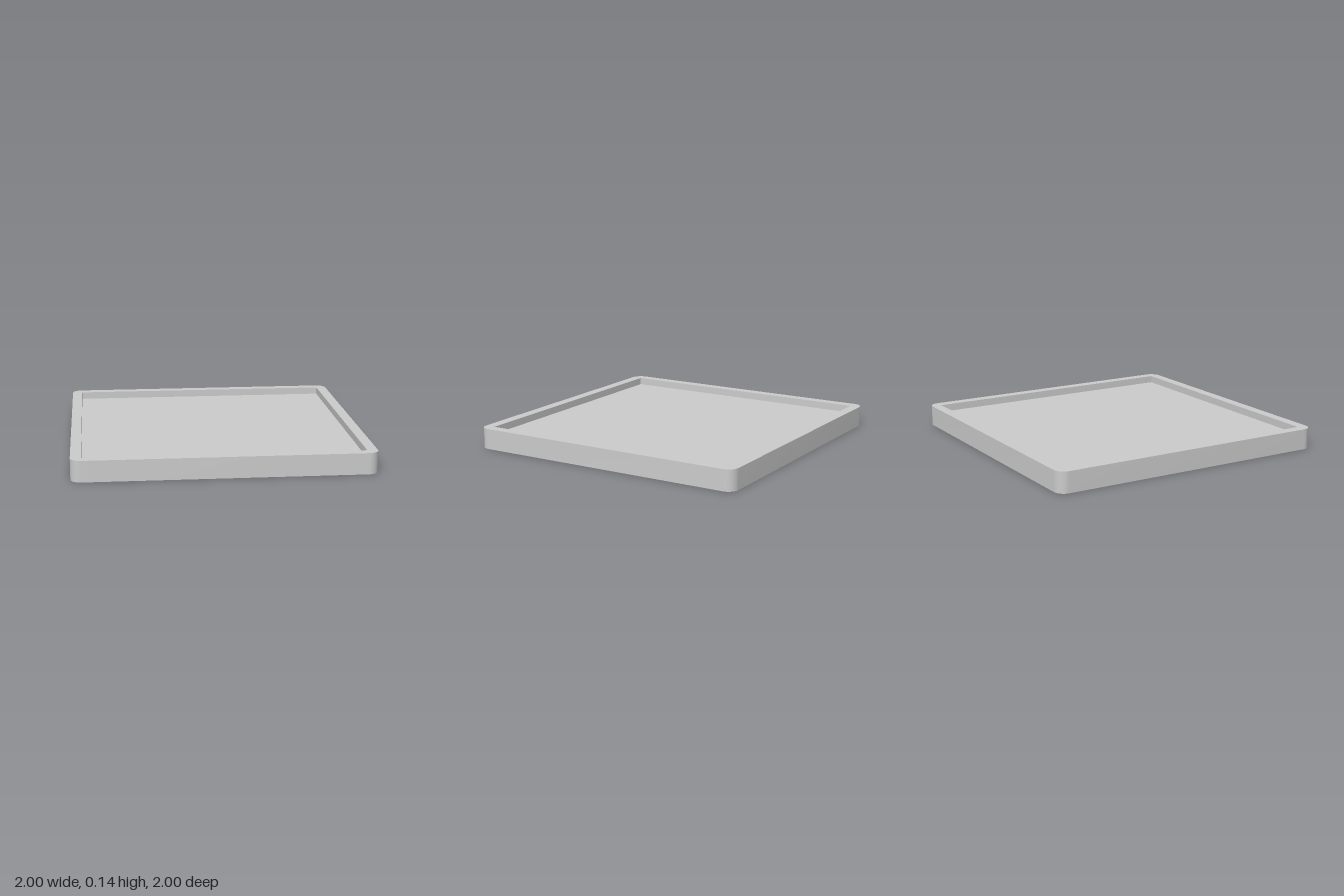
import * as THREE from 'three';
import { mergeGeometries, toCreasedNormals } from 'three/addons/utils/BufferGeometryUtils.js';

const HALF = 1, HEIGHT = 0.143, RADIUS = 0.0714, INNER = 0.9286, FLOOR = 0.092;

// Counter-clockwise square outline with rounded corners (radius 0 gives sharp corners)
function outline(half, radius, steps) {
  const points = [];
  for (let corner = 0; corner < 4; corner++) {
    const mid = Math.PI / 4 + corner * Math.PI / 2;
    const cx = Math.sign(Math.cos(mid)) * (half - radius);
    const cy = Math.sign(Math.sin(mid)) * (half - radius);
    for (let i = 0; i <= steps; i++) {
      const a = (corner + (steps ? i / steps : 0)) * Math.PI / 2;
      points.push(new THREE.Vector2(cx + radius * Math.cos(a), cy + radius * Math.sin(a)));
    }
  }
  return points;
}

// Flat cap lying at height z
function cap(points, z, hole) {
  const shape = new THREE.Shape(points);
  if (hole) shape.holes.push(new THREE.Path(hole));
  const geometry = new THREE.ShapeGeometry(shape).toNonIndexed().translate(0, 0, z);
  geometry.deleteAttribute('uv');
  return geometry;
}

// Vertical wall along a closed outline; faces outward for a counter-clockwise one
function wall(points, z0, z1) {
  const positions = [];
  points.forEach((a, i) => {
    const b = points[(i + 1) % points.length];
    positions.push(a.x, a.y, z0, b.x, b.y, z0, b.x, b.y, z1);
    positions.push(a.x, a.y, z0, b.x, b.y, z1, a.x, a.y, z1);
  });
  const geometry = new THREE.BufferGeometry();
  geometry.setAttribute('position', new THREE.Float32BufferAttribute(positions, 3));
  geometry.computeVertexNormals();
  return geometry;
}

export function createModel() {
  const outer = outline(HALF, RADIUS, 12);
  const inner = outline(INNER, 0, 0);
  const innerReversed = [...inner].reverse();

  // One closed shell: underside, outer wall, rim, recess wall, recess floor
  const shell = mergeGeometries([
    cap(outer, 0).rotateX(Math.PI),
    wall(outer, 0, HEIGHT),
    cap(outer, HEIGHT, innerReversed),
    wall(innerReversed, FLOOR, HEIGHT),
    cap(inner, FLOOR),
  ]).rotateX(-Math.PI / 2);

  const tray = new THREE.Mesh(
    toCreasedNormals(shell, Math.PI / 6),
    new THREE.MeshStandardMaterial({ color: 0xcccccc })
  );
  tray.name = 'tray';

  const group = new THREE.Group();
  group.name = 'squareTray';
  group.add(tray);
  return group;
}
